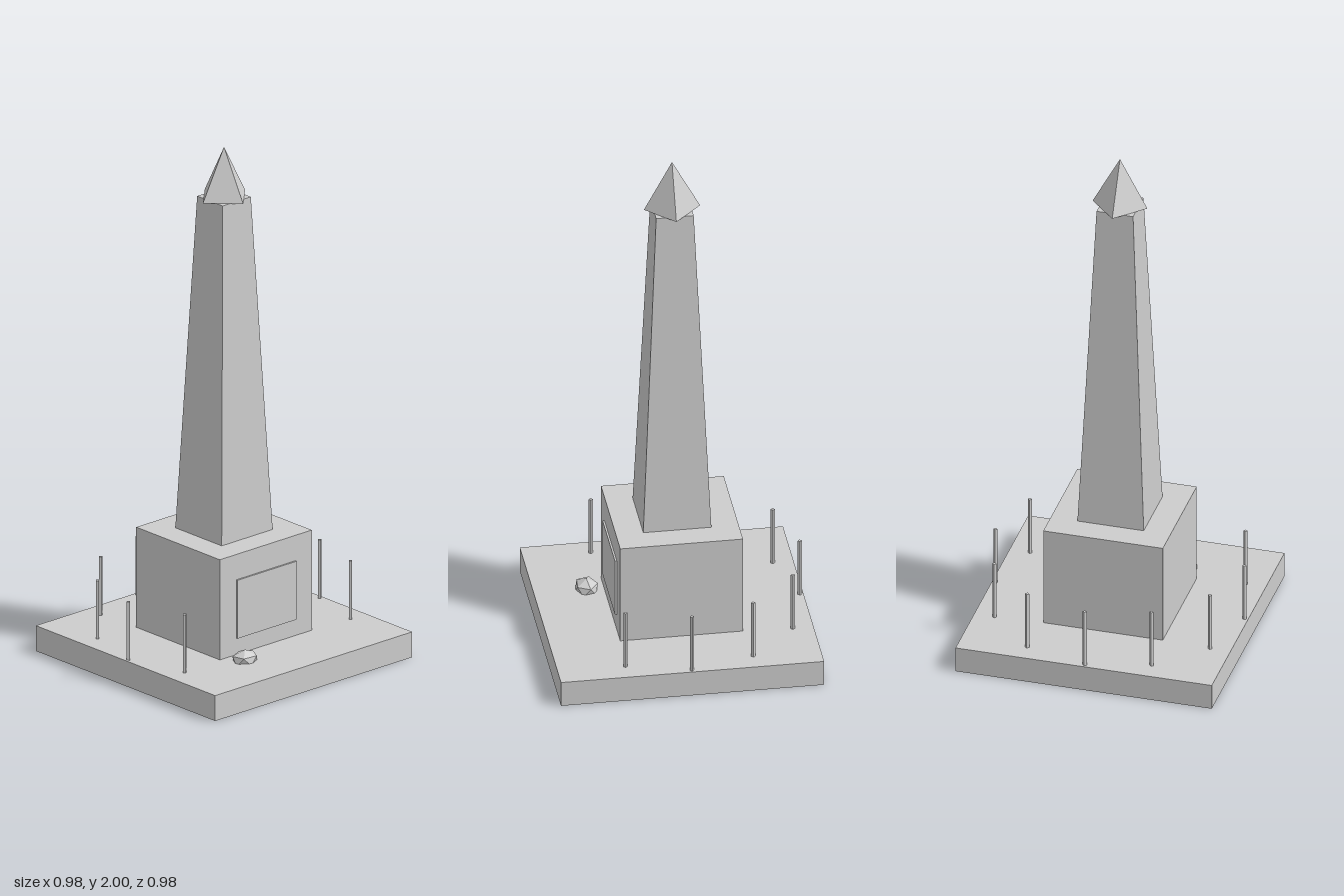
import * as THREE from 'three';
import { ConvexGeometry } from 'three/addons/geometries/ConvexGeometry.js';

export function createModel() {
  const model = new THREE.Group();
  model.name = 'obeliskMonument';

  const stone = new THREE.MeshStandardMaterial({ color: 0xcccccc });
  stone.name = 'grey stone';

  const add = (name, geometry, x, y, z) => {
    const mesh = new THREE.Mesh(geometry, stone);
    mesh.name = name;
    mesh.position.set(x, y, z);
    model.add(mesh);
    return mesh;
  };

  // Faceted cylinder or cone with hard edges
  const faceted = (rTop, rBottom, height, turn = 0) => {
    const g = new THREE.CylinderGeometry(rTop, rBottom, height, 4).rotateY(turn).toNonIndexed();
    g.computeVertexNormals();
    return g;
  };

  // Base slab, pedestal and the plaque on its front
  add('baseSlab', new THREE.BoxGeometry(0.982, 0.1, 0.982), 0, 0.05, 0);
  add('pedestal', new THREE.BoxGeometry(0.458, 0.395, 0.458), 0, 0.2975, 0);
  add('plaque', new THREE.BoxGeometry(0.294, 0.23, 0.008), 0, 0.28, 0.232);

  // Tapered square shaft, and a capstone turned by an eighth
  const shaftTop = 0.07, shaftBottom = 0.127;
  add('shaft', faceted(shaftTop * Math.SQRT2, shaftBottom * Math.SQRT2, 1.31, Math.PI / 4), 0, 1.15, 0);
  const cap = new THREE.ConeGeometry(0.105, 0.195, 4).toNonIndexed();
  cap.computeVertexNormals();
  add('capstone', cap, 0, 1.9025, 0);

  // Slim posts in a ring, open towards the front
  const postGeometry = faceted(0.008, 0.008, 0.23);
  for (let i = 2; i <= 10; i++) {
    const a = (i * Math.PI) / 6;
    add('post', postGeometry, Math.sin(a) * 0.477, 0.215, Math.cos(a) * 0.477);
  }

  // Flattened twenty-sided rock, partly sunk in the slab
  const points = [new THREE.Vector3(0, 1, 0), new THREE.Vector3(0, -1, 0)];
  for (let i = 0; i < 10; i++) {
    const a = Math.PI / 3 + (i * Math.PI) / 5;
    const y = i % 2 ? -0.447 : 0.447;
    points.push(new THREE.Vector3(Math.cos(a) * 0.894, y, Math.sin(a) * 0.894));
  }
  const rock = new ConvexGeometry(points).scale(0.057, 0.036, 0.047);
  add('rock', rock, -0.163, 0.106, 0.294);

  return model;
}
